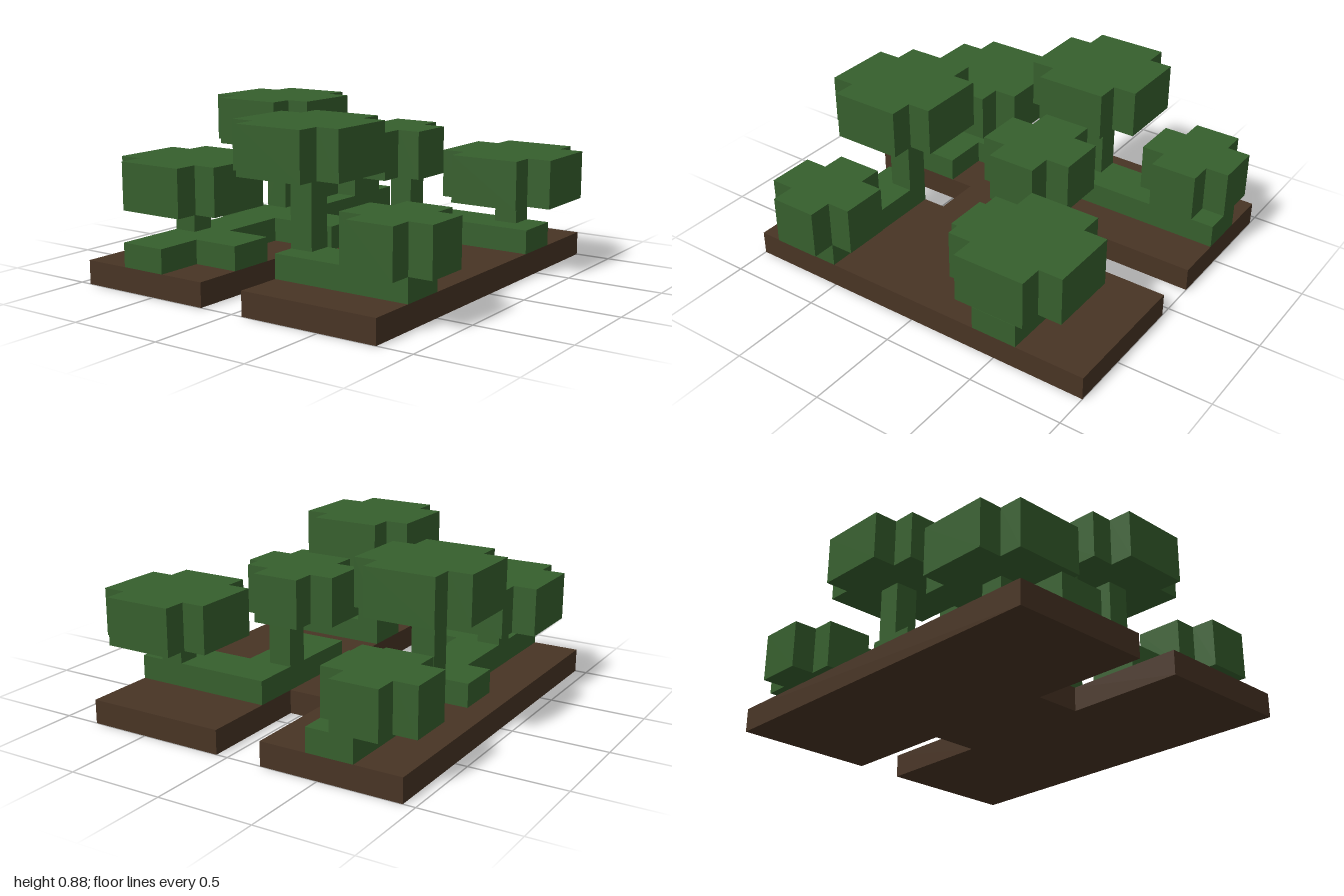
import * as THREE from 'three';

const green = new THREE.MeshStandardMaterial({ color: 0x365f2d });
green.name = 'leaf green';
const brown = new THREE.MeshStandardMaterial({ color: 0x483424 });
brown.name = 'soil brown';

const U = 0.125; // one block

// Upright prism from an outline of [x, z] corners
function prism(name, outline, y, height, material) {
  const shape = new THREE.Shape(outline.map(([x, z]) => new THREE.Vector2(x, -z)));
  const geometry = new THREE.ExtrudeGeometry(shape, { depth: height, bevelEnabled: false });
  geometry.rotateX(-Math.PI / 2);
  geometry.translate(0, y, 0);
  const mesh = new THREE.Mesh(geometry, material);
  mesh.name = name;
  return mesh;
}

// Square of n blocks with its corner blocks missing
function canopyOutline(x, z, n) {
  const a = U, b = (n - 1) * U, c = n * U;
  return [
    [a, 0], [b, 0], [b, a], [c, a], [c, b], [b, b],
    [b, c], [a, c], [a, b], [0, b], [0, a], [a, a],
  ].map(([dx, dz]) => [x + dx, z + dz]);
}

// Tree with a one-block trunk standing on the hedge, x and z at its back right corner
function tree(name, x, z, n, canopyY) {
  const group = new THREE.Group();
  group.name = name;
  group.add(prism('canopy', canopyOutline(x, z, n), canopyY, 2 * U, green));
  const trunkHeight = canopyY - 2 * U;
  if (trunkHeight > 0) {
    const trunk = new THREE.Mesh(new THREE.BoxGeometry(U, trunkHeight, U), green);
    trunk.name = 'trunk';
    trunk.position.set(x + 2.5 * U, 2 * U + trunkHeight / 2, z + 2.5 * U);
    group.add(trunk);
  }
  return group;
}

export function createModel() {
  const model = new THREE.Group();
  model.name = 'blockGarden';

  // Soil slab with a notch in each side
  model.add(prism('soilSlab', [
    [-1, -0.9375], [1, -0.9375], [1, -0.1875], [0.375, -0.1875], [0.375, 0.0625], [1, 0.0625],
    [1, 0.8125], [-1, 0.8125], [-1, 0.0625], [-0.375, 0.0625], [-0.375, -0.1875], [-1, -0.1875],
  ], 0, U, brown));

  // Low hedges
  model.add(prism('backHedge', [
    [-1, -0.6875], [-0.125, -0.6875], [-0.125, -0.8125], [0.125, -0.8125],
    [0.125, -0.6875], [1, -0.6875], [1, -0.4375], [0.125, -0.4375],
    [0.125, -0.0625], [-0.125, -0.0625], [-0.125, -0.4375], [-0.5, -0.4375],
    [-0.5, -0.1875], [-0.75, -0.1875], [-0.75, -0.4375], [-1, -0.4375],
  ], U, U, green));
  model.add(prism('frontLeftHedge', [
    [-0.125, 0.0625], [0.625, 0.0625], [0.625, 0.8125],
    [0.375, 0.8125], [0.375, 0.3125], [-0.125, 0.3125],
  ], U, U, green));
  model.add(prism('frontRightHedge', [
    [-0.75, 0.0625], [-0.5, 0.0625], [-0.5, 0.8125], [-0.75, 0.8125],
  ], U, U, green));

  // Trees: x, z, width in blocks, canopy height
  const trees = [
    ['backRightTree', -0.875, -0.9375, 5, 0.375],
    ['backMiddleTree', -0.125, -0.9375, 5, 0.625],
    ['backLeftBush', 0.5, -0.9375, 4, 0.25],
    ['middleRightTree', -0.875, -0.1875, 5, 0.625],
    ['middleTree', 0, -0.1875, 4, 0.5],
    ['frontLeftTree', 0.25, 0.3125, 5, 0.375],
    ['frontRightBush', -0.875, 0.4375, 4, 0.25],
  ];
  for (const t of trees) model.add(tree(...t));

  return model;
}
